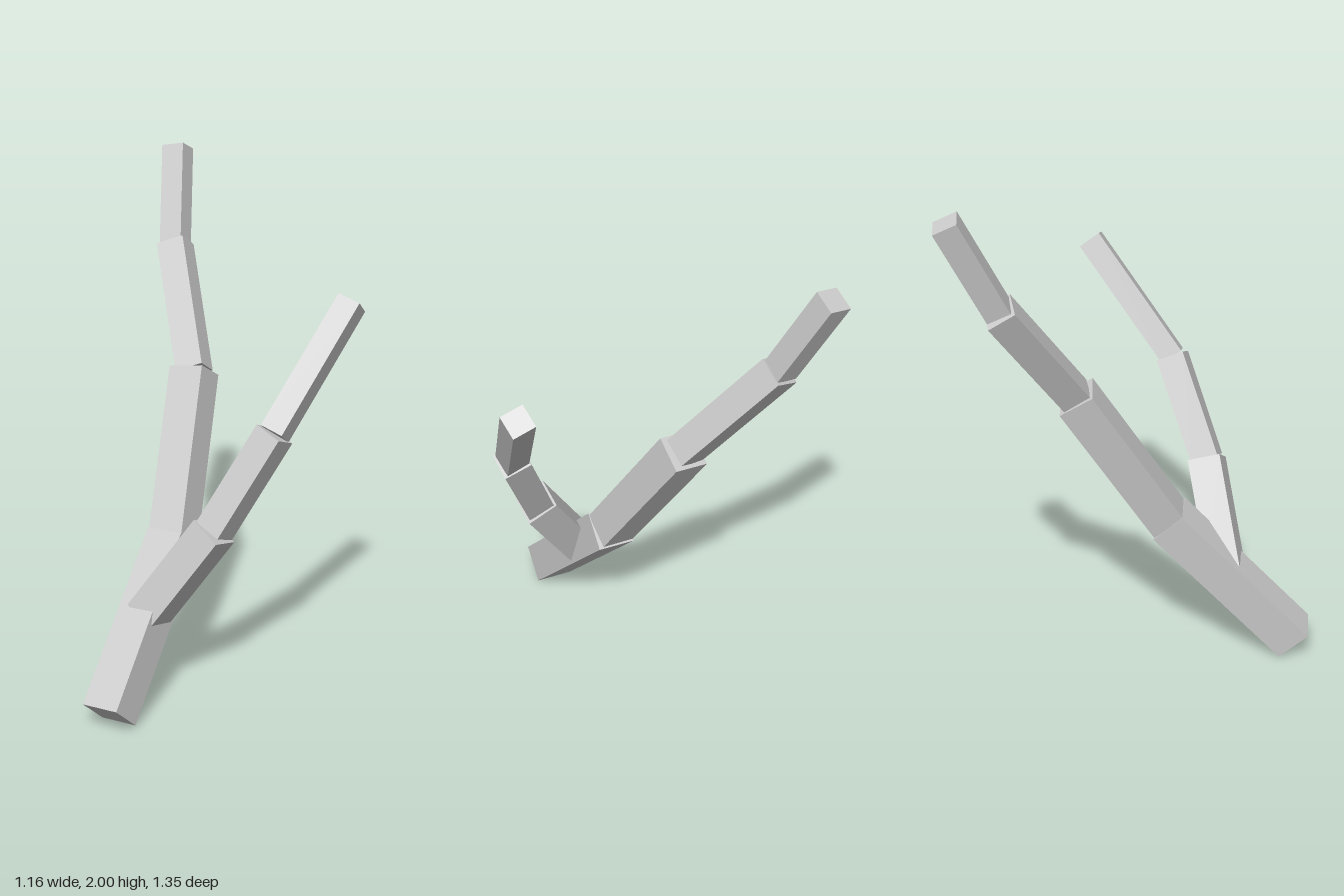
import * as THREE from 'three';

const material = new THREE.MeshStandardMaterial({ color: 0xcccccc, flatShading: true });

// Square bar from a to b; `side` is the rough direction of its local x axis.
function bar(name, a, b, width, side) {
  const start = new THREE.Vector3(...a);
  const end = new THREE.Vector3(...b);
  const axis = end.clone().sub(start);
  const length = axis.length();
  axis.normalize();
  const x = new THREE.Vector3(...side);
  x.addScaledVector(axis, -x.dot(axis)).normalize();
  const z = new THREE.Vector3().crossVectors(x, axis);

  const mesh = new THREE.Mesh(new THREE.BoxGeometry(width, length, width), material);
  mesh.name = name;
  mesh.quaternion.setFromRotationMatrix(new THREE.Matrix4().makeBasis(x, axis, z));
  mesh.position.copy(start).add(end).multiplyScalar(0.5);
  return mesh;
}

// Chain of bars, each starting at the centre of the previous bar's end.
function limb(name, joints, widths, sides) {
  const group = new THREE.Group();
  group.name = name;
  widths.forEach((w, i) => {
    group.add(bar(`${name}Segment${i + 1}`, joints[i], joints[i + 1], w, sides[i]));
  });
  return group;
}

export function createModel() {
  const model = new THREE.Group();
  model.name = 'forkedBranch';

  // Main stem, leaning back and to the right
  model.add(limb('mainStem',
    [[0.043, 0.063, 0.615], [-0.022, 0.602, 0.107], [-0.166, 1.177, -0.235],
      [-0.425, 1.612, -0.465], [-0.527, 1.974, -0.624]],
    [0.156, 0.146, 0.115, 0.095],
    [[0.155, 0.012, -0.007], [0.145, 0.02, -0.02], [0.095, 0.035, -0.035], [0.093, 0.02, -0.02]]));

  // Side branch, growing out of the stem to the left
  model.add(limb('sideBranch',
    [[0.02, 0.367, 0.335], [0.255, 0.742, 0.225], [0.415, 1.12, 0.062], [0.525, 1.566, -0.288]],
    [0.133, 0.113, 0.094],
    [[0.115, -0.065, 0.015], [0.105, -0.04, 0.01], [0.093, -0.02, -0.008]]));

  return model;
}
